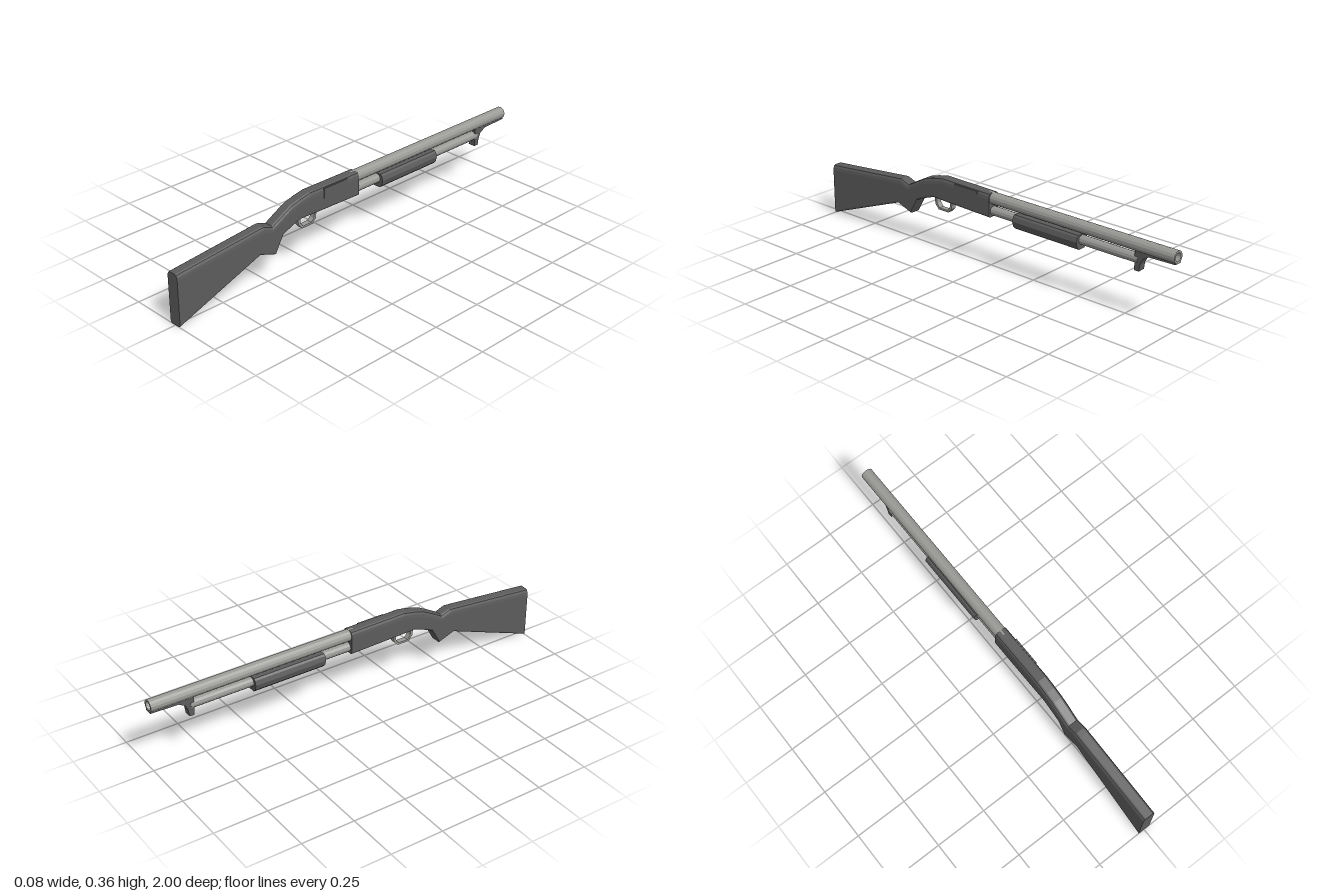
import * as THREE from 'three';

const dark = new THREE.MeshStandardMaterial({ color: 0x5c5c5c });
dark.name = 'dark grey body';
const steel = new THREE.MeshStandardMaterial({ color: 0x999996 });
steel.name = 'light grey steel';

// Faceted mesh
function part(name, geometry, material) {
  const g = geometry.index ? geometry.toNonIndexed() : geometry;
  g.computeVertexNormals();
  const mesh = new THREE.Mesh(g, material);
  mesh.name = name;
  return mesh;
}

// Joins equal cross-sections (rings of [x, y, z], ordered from +z to -z) and caps both ends
function loft(rings) {
  const n = rings[0].length, index = [];
  rings.slice(1).forEach((_, i) => {
    for (let k = 0; k < n; k++) {
      const a = i * n + k, b = i * n + (k + 1) % n;
      index.push(a, a + n, b + n, a, b + n, b);
    }
  });
  const last = (rings.length - 1) * n;
  for (let k = 1; k < n - 1; k++) {
    index.push(0, k, k + 1, last, last + k + 1, last + k);
  }
  const g = new THREE.BufferGeometry();
  g.setAttribute('position', new THREE.Float32BufferAttribute(rings.flat(2), 3));
  g.setIndex(index);
  return g;
}

// Body section: small rounding below, tall rounding above
function bodyRing([z, bottom, top]) {
  const w = 0.031, right = [];
  const corner = (cy, ry, from, rx) => {
    for (let i = 0; i <= 3; i++) {
      const a = from + (i / 3) * Math.PI / 2;
      right.push([w - rx + rx * Math.cos(a), cy + ry * Math.sin(a), z]);
    }
  };
  corner(bottom + 0.01, 0.01, -Math.PI / 2, 0.01);
  corner(top - 0.028, 0.028, 0, 0.014);
  const left = right.map(([x, y]) => [-x, y, z]).reverse();
  return [...right, ...left];
}

// Side outline given as [-z, y], extruded across x
function sidePlate(points, width, hole) {
  const toVec = ([u, v]) => new THREE.Vector2(u, v);
  const shape = new THREE.Shape(points.map(toVec));
  if (hole) shape.holes.push(new THREE.Path(hole.map(toVec)));
  const g = new THREE.ExtrudeGeometry(shape, { depth: width, bevelEnabled: false });
  return g.translate(0, 0, -width / 2).rotateY(Math.PI / 2);
}

// Turned profile [radius, distance along -z]
function turned(profile, sides, y) {
  const pts = profile.map(([r, d]) => new THREE.Vector2(r, d));
  return new THREE.LatheGeometry(pts, sides).rotateX(-Math.PI / 2).translate(0, y, 0);
}

export function createModel() {
  const model = new THREE.Group();
  model.name = 'pumpActionLongArm';

  // Stock, grip and receiver: [z, bottom, top]
  const stations = [
    [1, 0, 0.247], [0.56, 0.163, 0.288], [0.535, 0.154, 0.29], [0.487, 0.137, 0.272],
    [0.476, 0.133, 0.278], [0.433, 0.21, 0.302], [0.38, 0.232, 0.33], [0.33, 0.249, 0.344],
    [0.27, 0.247, 0.356], [0.2, 0.245, 0.355], [-0.015, 0.24, 0.353],
  ];
  model.add(part('stockAndReceiver', loft(stations.map(bodyRing)), dark));

  // Ejection port cover set into the upper side
  const port = new THREE.BoxGeometry(0.009, 0.046, 0.14).translate(0.0272, 0.325, 0.125);
  model.add(part('ejectionPort', port, dark));

  // Hollow barrel and magazine tube
  const barrel = [[0.028, -0.01], [0.028, 1], [0.019, 1], [0.019, 0.85], [0, 0.85]];
  model.add(part('barrel', turned(barrel, 14, 0.326), steel));
  const tube = [[0.022, -0.01], [0.022, 0.815], [0, 0.815]];
  model.add(part('magazineTube', turned(tube, 12, 0.267), steel));

  // Sliding fore-end around the tube
  const half = [[0.018, 0.225], [0.031, 0.238], [0.038, 0.263], [0.032, 0.284], [0.024, 0.292]];
  const outline = [...half, ...half.map(([x, y]) => [-x, y]).reverse()];
  const foreEnd = loft([-0.157, -0.513].map(z => outline.map(([x, y]) => [x, y, z])));
  model.add(part('foreEnd', foreEnd, dark));

  // Lug under the muzzle
  const lug = [
    [0.8, 0.217], [0.823, 0.217], [0.828, 0.25], [0.84, 0.275], [0.87, 0.293],
    [1, 0.297], [1, 0.305], [0.8, 0.305],
  ];
  model.add(part('muzzleLug', sidePlate(lug, 0.036), dark));

  // Trigger guard loop
  const guard = [
    [-0.335, 0.255], [-0.33, 0.215], [-0.31, 0.191], [-0.25, 0.191], [-0.23, 0.21], [-0.222, 0.255],
  ];
  const opening = [
    [-0.32, 0.246], [-0.318, 0.219], [-0.304, 0.2], [-0.256, 0.2], [-0.241, 0.215], [-0.235, 0.246],
  ];
  model.add(part('triggerGuard', sidePlate(guard, 0.026, opening), steel));

  return model;
}
